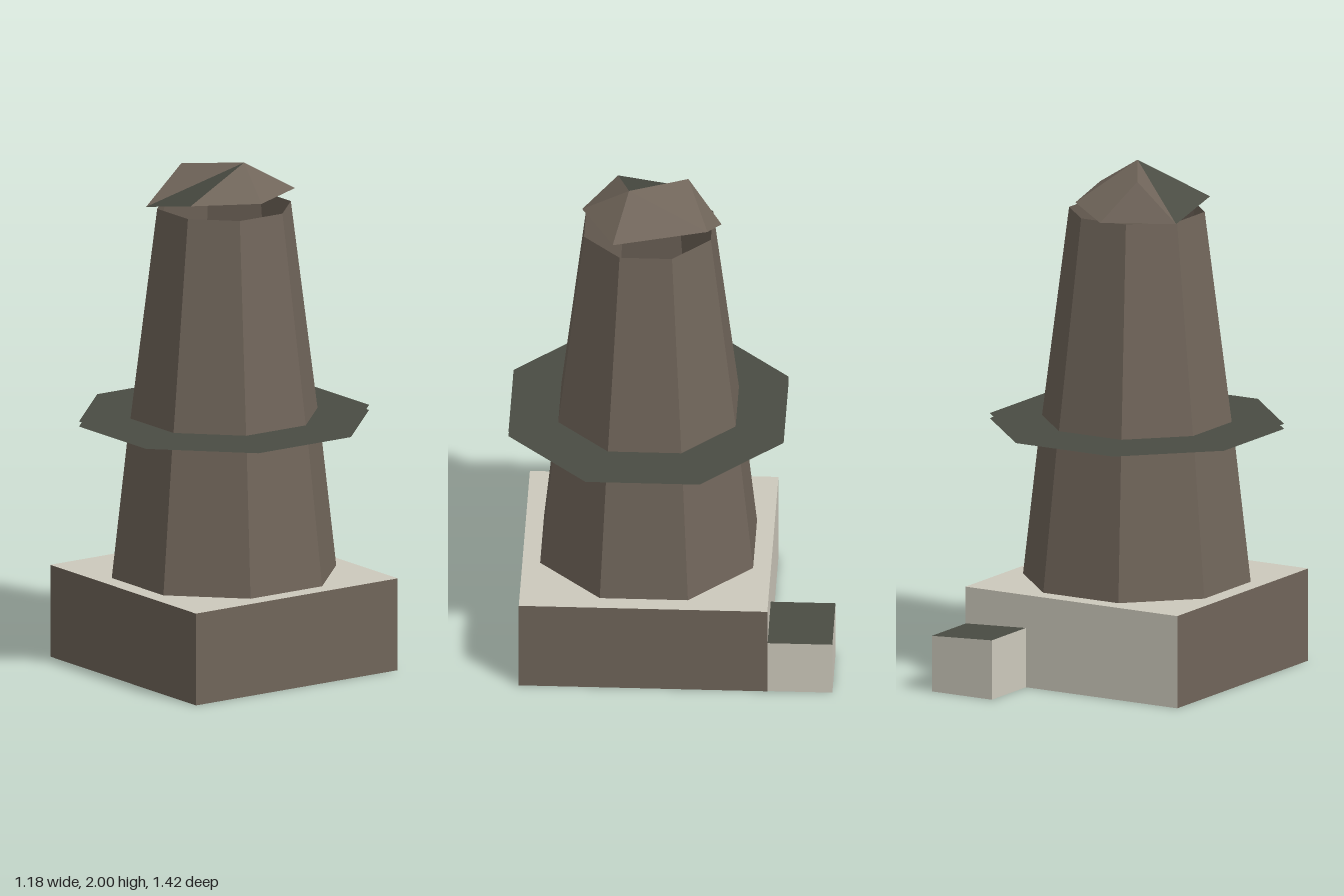
import * as THREE from 'three';

export function createModel() {
  const model = new THREE.Group();
  model.name = 'lighthouse';

  const mat = (name, color) => {
    const m = new THREE.MeshStandardMaterial({ color, flatShading: true, side: THREE.DoubleSide });
    m.name = name;
    return m;
  };
  const brown = mat('weathered brown', 0x70655a);
  const stone = mat('pale stone', 0xcdc9bc);
  const green = mat('dark green', 0x4a4c43);

  // Everything but the cap sits on a turned plinth
  const body = new THREE.Group();
  body.name = 'body';
  body.position.z = 0.12;
  body.rotation.y = Math.PI / 12;
  model.add(body);

  const add = (parent, name, geometry, material, x = 0, y = 0, z = 0) => {
    const mesh = new THREE.Mesh(geometry, material);
    mesh.name = name;
    mesh.position.set(x, y, z);
    parent.add(mesh);
    return mesh;
  };

  // Square base, open underneath: brown on three sides, stone top and back
  const baseH = 0.365;
  const baseGeo = new THREE.BoxGeometry(0.96, baseH, 0.96);
  const sides = Array.from(baseGeo.index.array);
  sides.splice(18, 6); // drop the underside
  baseGeo.setIndex(sides);
  baseGeo.clearGroups();
  [0, 0, 1, 0, 1].forEach((m, i) => baseGeo.addGroup(i * 6, 6, m));
  add(body, 'base', baseGeo, [brown, stone], 0, baseH / 2, 0);

  // Eight-sided tapering tower, open at the top
  const towerPart = (name, rTop, rBottom, y0, y1) =>
    add(body, name, new THREE.CylinderGeometry(rTop, rBottom, y1 - y0, 8, 1, true, Math.PI / 8),
      brown, 0, (y0 + y1) / 2, 0);
  towerPart('lowerTower', 0.375, 0.445, baseH, 0.985);
  towerPart('upperTower', 0.265, 0.372, 0.985, 1.823);

  // Gallery: two thin octagonal rings around the tower
  for (const [name, y, dir] of [['galleryDeck', 0.995, -1], ['galleryUnderside', 0.975, 1]]) {
    const ring = new THREE.RingGeometry(0.366, 0.575, 8, 1, Math.PI / 8);
    ring.rotateX(dir * Math.PI / 2);
    add(body, name, ring, green, 0, y, 0);
  }

  // Small shed against the back wall, with a slightly sloping roof
  const shedGeo = new THREE.BoxGeometry(0.272, 0.22, 0.25);
  const p = shedGeo.attributes.position;
  for (let i = 0; i < p.count; i++) {
    if (p.getY(i) > 0 && p.getX(i) < 0) p.setY(i, 0.125);
  }
  add(body, 'shed', shedGeo, [stone, stone, green, stone, stone, stone], 0.342, 0.11, -0.606);

  // Crooked faceted cap
  const A = [0.06, 2.0, 0.18], P = [-0.13, 1.973, 0];
  const rim = [
    [0.27, 1.88, 0.18], [0.06, 1.88, 0.37], [-0.21, 1.88, 0.31],
    [-0.295, 1.825, 0.05], [-0.08, 1.825, -0.15], [0.07, 1.88, -0.14],
  ];
  const [R1, R2, R3, R4, R5, R6] = rim;
  const facets = (tris) => {
    const g = new THREE.BufferGeometry();
    g.setAttribute('position', new THREE.Float32BufferAttribute(tris.flat(2), 3));
    g.computeVertexNormals();
    return g;
  };
  const cap = new THREE.Group();
  cap.name = 'cap';
  model.add(cap);
  add(cap, 'capRoof', facets([
    [A, R2, R1], [A, R3, R2], [A, P, R4], [P, R5, R4], [P, R6, R5], [A, R6, P], [A, R1, R6],
  ]), brown);
  add(cap, 'capPatch', facets([[A, R4, R3]]), green);
  add(cap, 'capSoffit', facets([[R1, R2, R3], [R1, R3, R6], [R3, R4, R5], [R3, R5, R6]]), green);

  return model;
}
